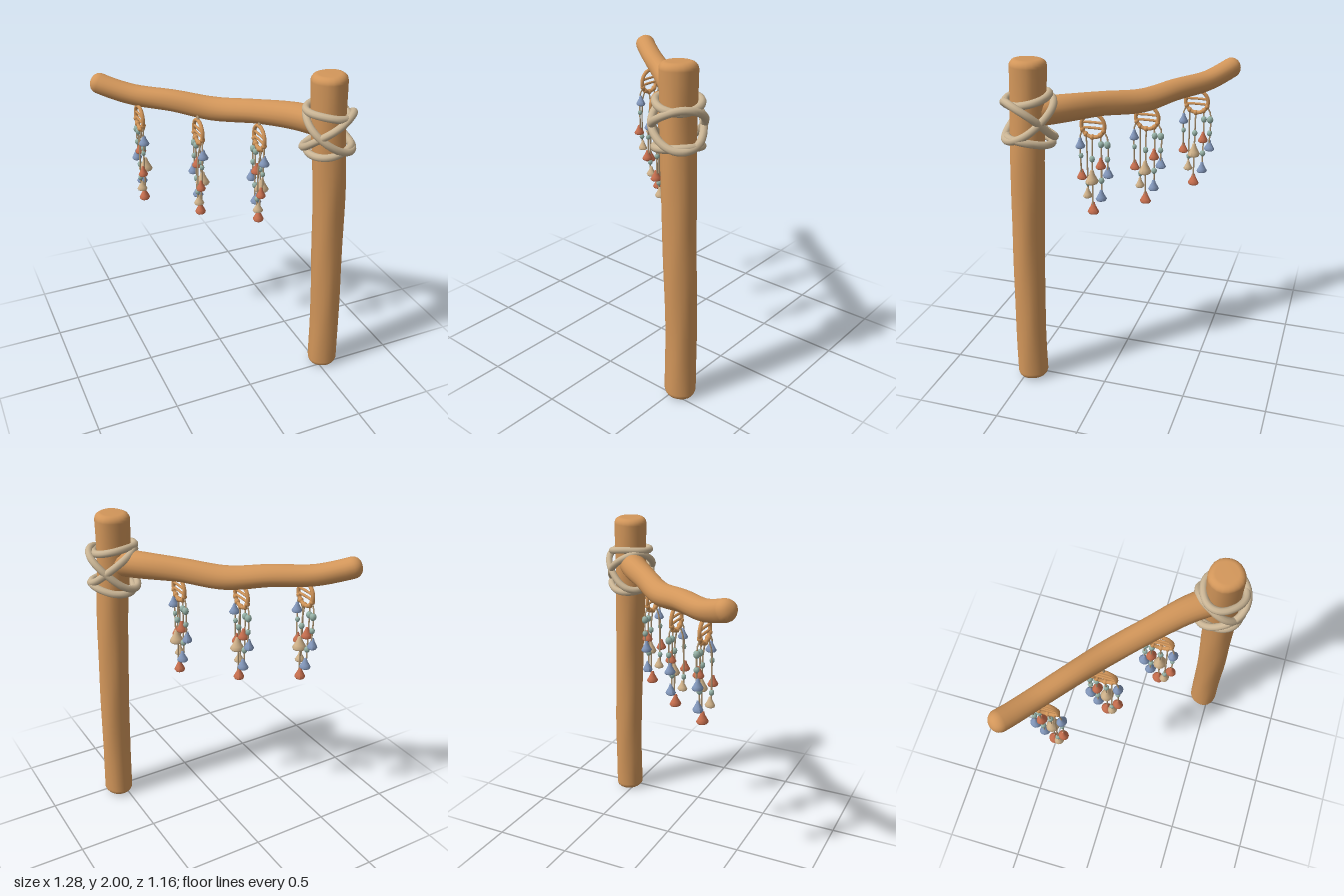
import * as THREE from 'three';

const mat = (name, color) => {
  const m = new THREE.MeshStandardMaterial({ color });
  m.name = name;
  return m;
};

// Round log swept along knots [x, y, z, radius], with rounded ends of size `round`
function logGeometry(knots, ref, round, sides = 20) {
  const curve = new THREE.CatmullRomCurve3(knots.map(k => new THREE.Vector3(k[0], k[1], k[2])));
  const length = curve.getLength();
  const stops = [];
  for (let i = 0; i <= 6; i++) stops.push(round * (1 - Math.cos(i / 6 * Math.PI / 2)));
  for (let i = 1; i < 32; i++) stops.push(round + (length - 2 * round) * i / 32);
  for (let i = 6; i >= 0; i--) stops.push(length - round * (1 - Math.cos(i / 6 * Math.PI / 2)));

  const pos = [], index = [];
  const addRing = (c, n, b, r, s) => {
    for (let j = 0; j < sides; j++) {
      const a = j / sides * Math.PI * 2;
      const rr = r * (1 + 0.02 * Math.sin(3 * a + s * 5) + 0.012 * Math.sin(5 * a - s * 9));
      const p = c.clone().addScaledVector(n, Math.cos(a) * rr).addScaledVector(b, Math.sin(a) * rr);
      pos.push(p.x, p.y, p.z);
    }
  };
  stops.forEach(d => {
    const u = Math.min(1, d / length), t = curve.getUtoTmapping(u);
    const k = t * (knots.length - 1), i = Math.min(knots.length - 2, Math.floor(k));
    const r = THREE.MathUtils.lerp(knots[i][3], knots[i + 1][3], k - i);
    const e = Math.min(round, d, length - d);
    const inset = round - Math.sqrt(Math.max(0, round * round - (round - e) ** 2));
    const tan = curve.getTangent(t);
    const n = new THREE.Vector3().crossVectors(ref, tan).normalize();
    const b = new THREE.Vector3().crossVectors(tan, n);
    addRing(curve.getPoint(t), n, b, Math.max(0.002, r - inset), d);
  });
  for (let i = 0; i < stops.length - 1; i++) {
    for (let j = 0; j < sides; j++) {
      const a = i * sides + j, b = i * sides + (j + 1) % sides;
      index.push(a, b, a + sides, b, b + sides, a + sides);
    }
  }
  // end faces
  [0, stops.length - 1].forEach((ring, end) => {
    const p = curve.getPoint(end), centre = pos.length / 3;
    pos.push(p.x, p.y, p.z);
    for (let j = 0; j < sides; j++) {
      const a = ring * sides + j, b = ring * sides + (j + 1) % sides;
      if (end) index.push(centre, a, b); else index.push(centre, b, a);
    }
  });
  const g = new THREE.BufferGeometry();
  g.setAttribute('position', new THREE.Float32BufferAttribute(pos, 3));
  g.setIndex(index);
  g.computeVertexNormals();
  return g;
}

// Fluted bell-shaped shell, one unit tall and about one unit wide
function shellGeometry() {
  const profile = [[0.03, 0.5], [0.13, 0.45], [0.2, 0.22], [0.38, -0.08], [0.5, -0.28], [0.42, -0.4], [0.2, -0.48], [0.001, -0.5]];
  const g = new THREE.LatheGeometry(profile.reverse().map(p => new THREE.Vector2(p[0], p[1])), 14);
  const p = g.attributes.position;
  for (let i = 0; i < p.count; i++) {
    const a = Math.atan2(p.getZ(i), p.getX(i)), f = 1 + 0.09 * Math.cos(7 * a);
    p.setXYZ(i, p.getX(i) * f * 0.88, p.getY(i), p.getZ(i) * f);
  }
  g.computeVertexNormals();
  return g;
}

export function createModel() {
  const model = new THREE.Group();
  const wood = mat('wood', 0xd2965a), rope = mat('rope', 0xc9b494), cord = mat('cord', 0xb39a78);
  const blue = mat('blue shell', 0x8499bd), sage = mat('sage bead', 0x97b3a8);
  const red = mat('terracotta shell', 0xc9704f), cream = mat('cream shell', 0xd2b48c);

  const add = (parent, name, geometry, material) => {
    const m = new THREE.Mesh(geometry, material);
    m.name = name;
    parent.add(m);
    return m;
  };
  const tube = (parent, name, pts, r, material, closed = false, steps = 6, sides = 6) =>
    add(parent, name, new THREE.TubeGeometry(
      new THREE.CatmullRomCurve3(pts.map(p => new THREE.Vector3(...p)), closed), steps, r, sides, closed), material);

  // Upright post, bending slightly towards the top
  add(model, 'post', logGeometry([
    [0.54, 0, 0.46, 0.093], [0.538, 0.35, 0.459, 0.091], [0.528, 0.7, 0.457, 0.093],
    [0.515, 1.05, 0.453, 0.095], [0.5, 1.4, 0.446, 0.098], [0.482, 1.7, 0.434, 0.1], [0.473, 2, 0.425, 0.105],
  ], new THREE.Vector3(0, 0, 1), 0.04), wood);

  // Crooked branch
  add(model, 'branch', logGeometry([
    [0.475, 1.7, 0.42, 0.085], [0.36, 1.705, 0.27, 0.08], [0.2, 1.698, 0.108, 0.071], [0, 1.676, -0.085, 0.071],
    [-0.2, 1.703, -0.238, 0.066], [-0.4, 1.718, -0.39, 0.063], [-0.53, 1.755, -0.478, 0.063], [-0.615, 1.79, -0.54, 0.064],
  ], new THREE.Vector3(0, 1, 0), 0.055), wood);

  // Crossed lashing: each loop is [middle height, tilt, radius, wobble phase]
  const lashing = new THREE.Group();
  lashing.name = 'lashing';
  model.add(lashing);
  const toBranch = Math.atan2(-0.7, -0.72);
  [[1.665, 0.11, 0.138, 0], [1.665, -0.115, 0.138, 2], [1.785, 0.02, 0.122, 4], [1.55, -0.022, 0.126, 1]]
    .forEach(([y, tilt, radius, phase]) => {
      const pts = [];
      for (let i = 0; i < 20; i++) {
        const a = i / 20 * Math.PI * 2, c = Math.cos(a - toBranch);
        const r = radius + 0.006 * Math.sin(3 * a + phase);
        pts.push([0.483 - (y - 1.67) * 0.06 + Math.cos(a) * r, y + tilt * c + 0.006 * Math.sin(2 * a + phase), 0.432 + Math.sin(a) * r]);
      }
      tube(lashing, 'rope loop', pts, 0.022, rope, true, 64, 10);
    });

  // Strands: [offset x, offset z, ring z, [[material, depth, size], ...]]
  const strands = [
    [-0.012, 0.083, 0.066, [[sage, 0.2, 0.03], [blue, 0.118, 0.066], [red, 0.322, 0.066]]],
    [-0.028, 0.048, 0.045, [[sage, 0.38, 0.032], [cream, 0.44, 0.064]]],
    [0.014, 0.004, 0.005, [[sage, 0.205, 0.036], [cream, 0.318, 0.088], [red, 0.525, 0.076]]],
    [0.004, -0.05, -0.045, [[sage, 0.112, 0.038], [red, 0.228, 0.07], [sage, 0.34, 0.036], [blue, 0.434, 0.07]]],
    [0.006, -0.09, -0.066, [[sage, 0.11, 0.042], [sage, 0.2, 0.034], [blue, 0.285, 0.07]]],
  ];
  const shell = shellGeometry();
  const bead = new THREE.SphereGeometry(0.5, 8, 6);

  // Hanging charms: [x, ring height, z, branch z]
  [[0.185, 1.557, 0.16, 0.11], [-0.1, 1.543, -0.09, -0.15], [-0.387, 1.585, -0.335, -0.37]].forEach(([x, y, z, branchZ]) => {
    const charm = new THREE.Group();
    charm.name = 'hangingCharm';
    charm.position.set(x, y, z);
    model.add(charm);

    // Hoop with two cross bars and wrapped knots
    add(charm, 'hoop', new THREE.TorusGeometry(0.072, 0.012, 8, 28), wood).rotation.y = Math.PI / 2;
    [0.018, -0.016].forEach(h => tube(charm, 'hoop bar', [[0, h, -0.07], [0, h + 0.002, 0], [0, h, 0.07]], 0.008, wood));
    tube(charm, 'hanging cord', [[0, 0.065, 0], [0, 0.09, 0], [0, 0.13, branchZ - z]], 0.009, cord);

    strands.forEach(([ox, oz, rz, parts]) => {
      const strand = new THREE.Group();
      strand.name = 'strand';
      charm.add(strand);
      const top = -Math.sqrt(0.072 ** 2 - rz ** 2);
      const end = parts[parts.length - 1][1];
      add(strand, 'knot', bead, wood).position.set(0, top, rz);
      strand.children[0].scale.set(0.036, 0.034, 0.03);
      tube(strand, 'string', [[0, top, rz], [ox * 0.6, top - 0.04, oz], [ox, -end, oz]], 0.005, cord);
      parts.forEach(([material, depth, size], i) => {
        const isBead = material === sage;
        const m = add(strand, isBead ? 'bead' : 'shell', isBead ? bead : shell, material);
        m.position.set(ox + (isBead ? 0 : 0.008 * (i % 2 ? 1 : -1)), -depth, oz);
        m.scale.set(size, size * (isBead ? 1.15 : 1.08), size);
        m.rotation.y = i * 1.3;
      });
    });
  });
  return model;
}
